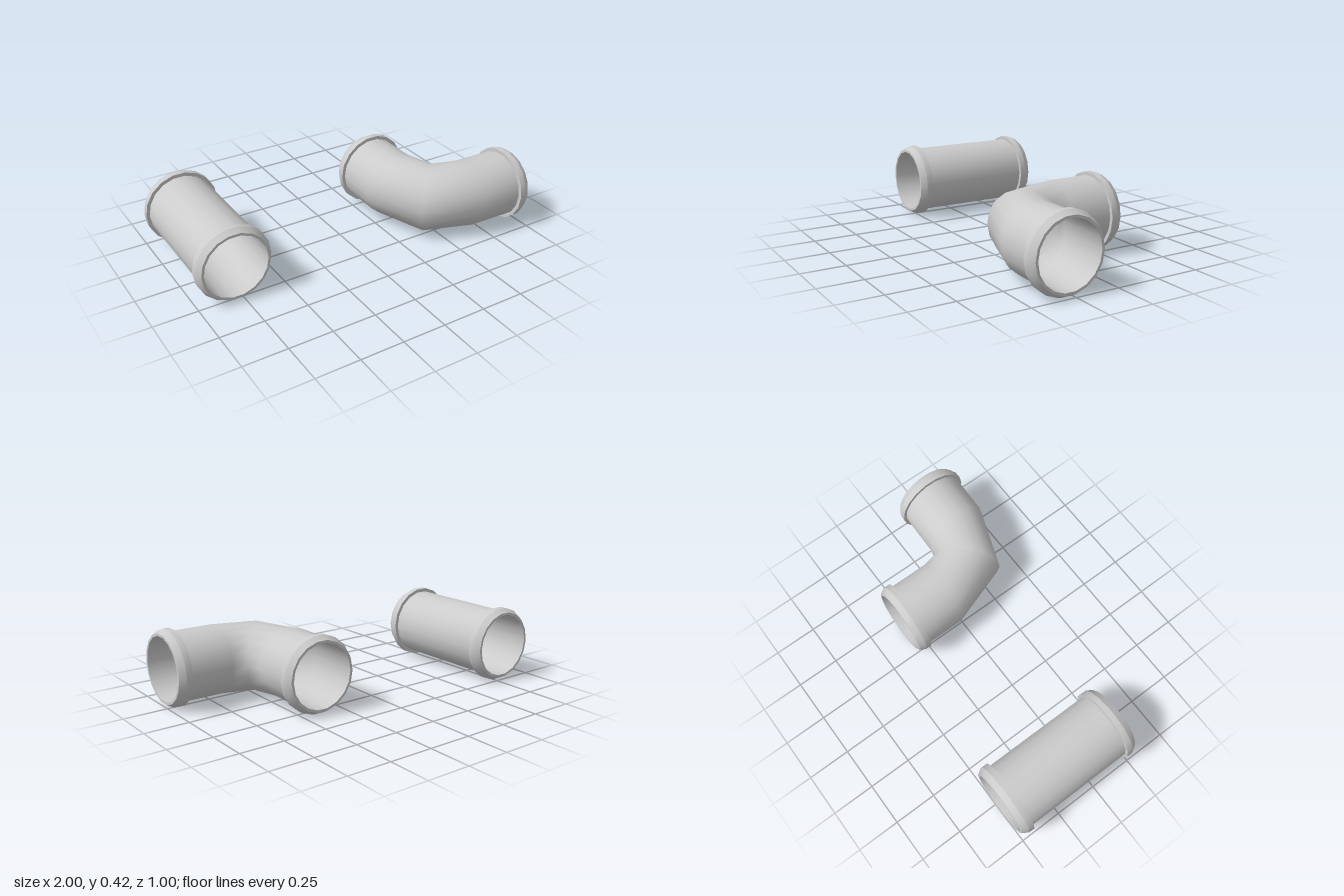
import * as THREE from 'three';
import { toCreasedNormals } from 'three/addons/utils/BufferGeometryUtils.js';

const SIDES = 18, CENTRE_Y = 0.212;
const BORE = 0.181, WALL = 0.195, COLLAR = 0.215;
const material = new THREE.MeshStandardMaterial({ color: 0xcccccc });

// Skin through level rings [x, z, heading, radius]; heading 0 faces +z, PI/2 faces +x
function loft(rings, inward = false) {
  const positions = [], index = [];
  for (const [x, z, heading, r] of rings) {
    for (let j = 0; j < SIDES; j++) {
      const t = (j / SIDES) * Math.PI * 2;
      const side = r * Math.cos(t);
      positions.push(x + side * Math.cos(heading), CENTRE_Y + r * Math.sin(t), z - side * Math.sin(heading));
    }
  }
  for (let i = 0; i < rings.length - 1; i++) {
    for (let j = 0; j < SIDES; j++) {
      const k = (j + 1) % SIDES;
      const a = i * SIDES + j, b = i * SIDES + k, c = a + SIDES, d = b + SIDES;
      if (inward) index.push(a, c, b, b, c, d);
      else index.push(a, b, c, b, d, c);
    }
  }
  const geometry = new THREE.BufferGeometry();
  geometry.setAttribute('position', new THREE.Float32BufferAttribute(positions, 3));
  geometry.setIndex(index);
  geometry.computeVertexNormals();
  return geometry;
}

function addMesh(group, name, geometry) {
  const mesh = new THREE.Mesh(geometry, material);
  mesh.name = name;
  group.add(mesh);
}

// Chamfered collar and rim; heading points into the pipe
function collar(x, z, heading) {
  const profile = [[BORE, 0], [WALL, 0], [COLLAR, 0.035], [COLLAR, 0.07], [WALL - 0.003, 0.07]];
  const rings = profile.map(([r, d]) => [x + d * Math.sin(heading), z + d * Math.cos(heading), heading, r]);
  return toCreasedNormals(loft(rings), 0.42);
}

// Hollow pipe through stations [x, z, heading]
function pipe(name, stations) {
  const group = new THREE.Group();
  group.name = name;
  addMesh(group, 'outerWall', loft(stations.map(s => [...s, WALL])));
  addMesh(group, 'innerWall', loft(stations.map(s => [...s, BORE]), true));
  const [x0, z0, h0] = stations[0];
  const [x1, z1, h1] = stations[stations.length - 1];
  addMesh(group, 'startCollar', collar(x0, z0, h0));
  addMesh(group, 'endCollar', collar(x1, z1, h1 + Math.PI));
  return group;
}

export function createModel() {
  const model = new THREE.Group();
  model.name = 'pipeFittings';
  model.add(pipe('straightPipe', [[-0.785, -0.503, 0], [-0.785, 0.28, 0]]));
  model.add(pipe('elbowPipe', [
    [0.395, -0.333, 0],
    [0.395, -0.03, 0],
    [0.468, 0.205, Math.PI / 4],
    [0.685, 0.278, Math.PI / 2],
    [1, 0.285, Math.PI / 2],
  ]));
  return model;
}
